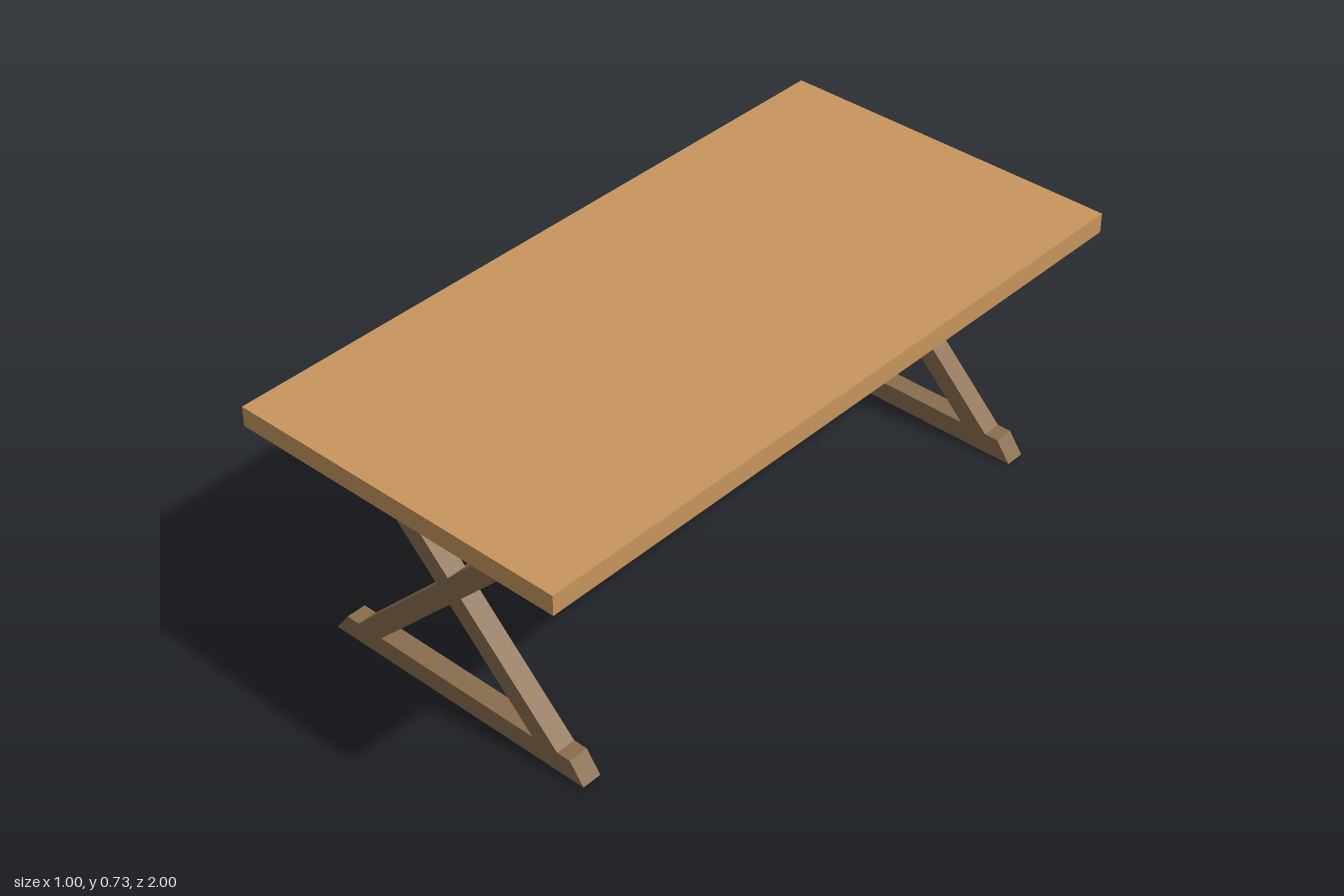
import * as THREE from 'three';

export function createModel() {
  const table = new THREE.Group();
  table.name = 'table';
  const topWood = new THREE.MeshStandardMaterial({ name: 'light wood', color: 0xc8965e });
  const legWood = new THREE.MeshStandardMaterial({ name: 'dark wood', color: 0x8a6e4f });

  const beam = 0.057;   // thickness of all frame timbers
  const crossY = 0.36;  // height where the legs cross
  const legZ = 0.82;

  function add(parent, name, geometry, material, x, y, z) {
    const mesh = new THREE.Mesh(geometry, material);
    mesh.name = name;
    mesh.position.set(x, y, z);
    parent.add(mesh);
    return mesh;
  }

  // Table top
  add(table, 'tableTop', new THREE.BoxGeometry(1, 0.056, 2), topWood, 0, 0.703, 0);

  // Foot profile with sloped ends
  const footShape = new THREE.Shape([
    new THREE.Vector2(-0.422, 0.003),
    new THREE.Vector2(0.422, 0.003),
    new THREE.Vector2(0.38, 0.061),
    new THREE.Vector2(-0.38, 0.061),
  ]);
  const footGeometry = new THREE.ExtrudeGeometry(footShape, { depth: beam, bevelEnabled: false });
  footGeometry.translate(0, 0, -beam / 2);
  const legGeometry = new THREE.BoxGeometry(0.96, beam, beam);

  // Crossed leg frame at each end
  for (const side of [1, -1]) {
    const frame = new THREE.Group();
    frame.name = side > 0 ? 'frontLegFrame' : 'backLegFrame';
    frame.position.z = side * legZ;
    for (const tilt of [1, -1]) {
      const leg = add(frame, tilt > 0 ? 'risingLeg' : 'fallingLeg', legGeometry, legWood, 0, crossY, 0);
      leg.rotation.z = tilt * Math.PI / 4;
    }
    add(frame, 'foot', footGeometry, legWood, 0, 0, 0);
    table.add(frame);
  }

  // Stretcher set on edge between the crossings
  const stretcher = add(table, 'stretcher',
    new THREE.BoxGeometry(beam, beam, 2 * legZ - beam), legWood, 0, crossY, 0);
  stretcher.rotation.z = Math.PI / 4;

  return table;
}
